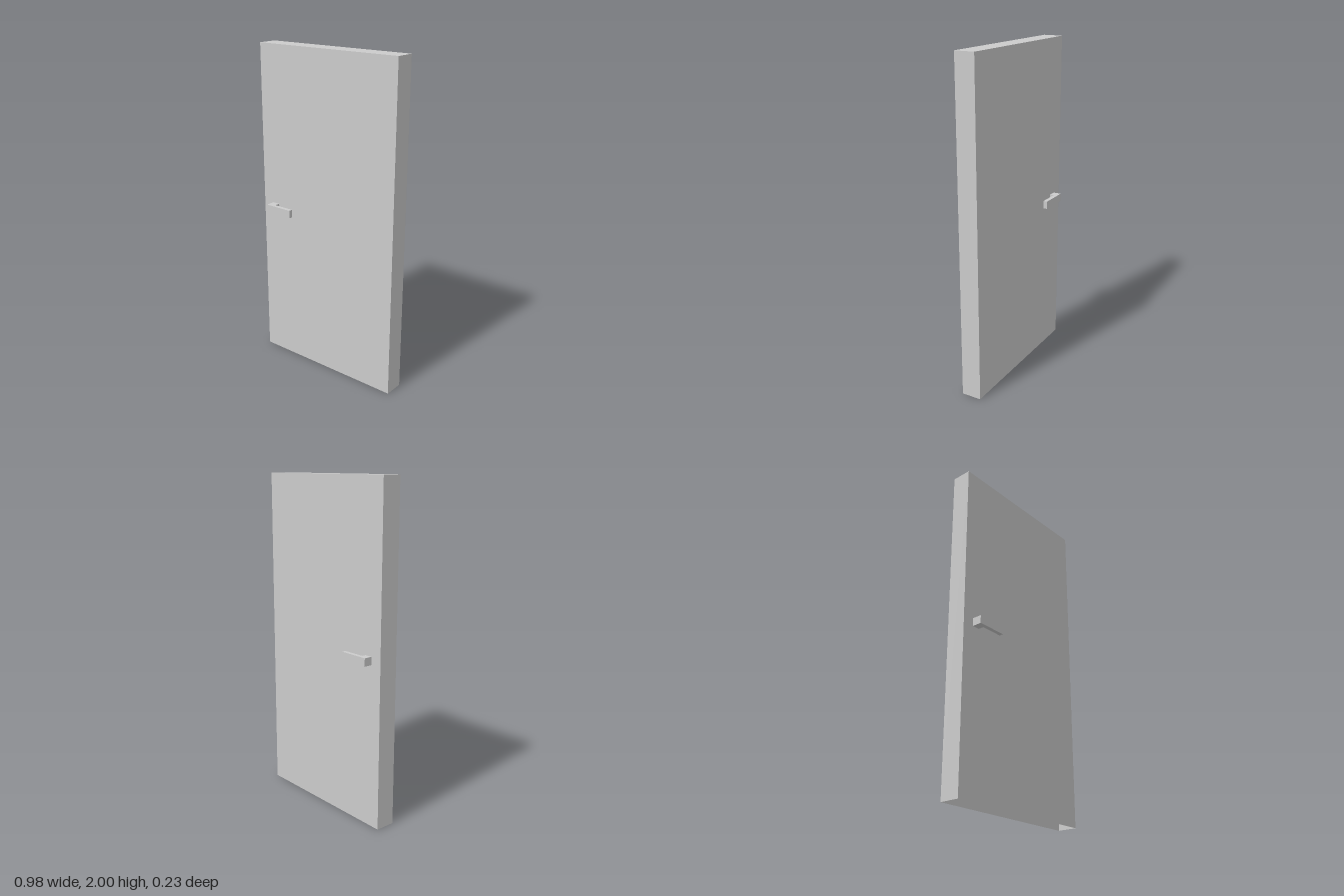
import * as THREE from 'three';

const material = new THREE.MeshStandardMaterial({ color: 0xcccccc, side: THREE.DoubleSide });

const DOOR_FRONT = 0.056, DOOR_BACK = -0.065;

// Door slab: a hollow box left open underneath
function createSlab() {
  const thickness = DOOR_FRONT - DOOR_BACK;
  const geometry = new THREE.BoxGeometry(0.98, 2, thickness);
  const index = Array.from(geometry.index.array);
  index.splice(18, 6); // the bottom face
  geometry.setIndex(index);
  geometry.clearGroups();
  geometry.translate(0, 1, (DOOR_FRONT + DOOR_BACK) / 2);
  const slab = new THREE.Mesh(geometry, material);
  slab.name = 'doorSlab';
  return slab;
}

// L-shaped lever: a square stem leaving the door, then a flat grip parallel to it
function createHandle(name, doorZ, side) {
  const outer = 0.115 * side, inner = 0.09 * side;
  const shape = new THREE.Shape([
    [-0.418, doorZ], [-0.37, doorZ], [-0.37, inner],
    [-0.231, inner], [-0.231, outer], [-0.418, outer],
  ].map(([x, z]) => new THREE.Vector2(x, z)));
  const geometry = new THREE.ExtrudeGeometry(shape, { depth: 0.048, bevelEnabled: false });
  geometry.rotateX(Math.PI / 2); // plan outline to horizontal, depth downward
  geometry.translate(0, 1.022, 0);
  const handle = new THREE.Mesh(geometry, material);
  handle.name = name;
  return handle;
}

export function createModel() {
  const door = new THREE.Group();
  door.name = 'door';
  door.add(
    createSlab(),
    createHandle('frontHandle', DOOR_FRONT, 1),
    createHandle('backHandle', DOOR_BACK, -1),
  );
  return door;
}
